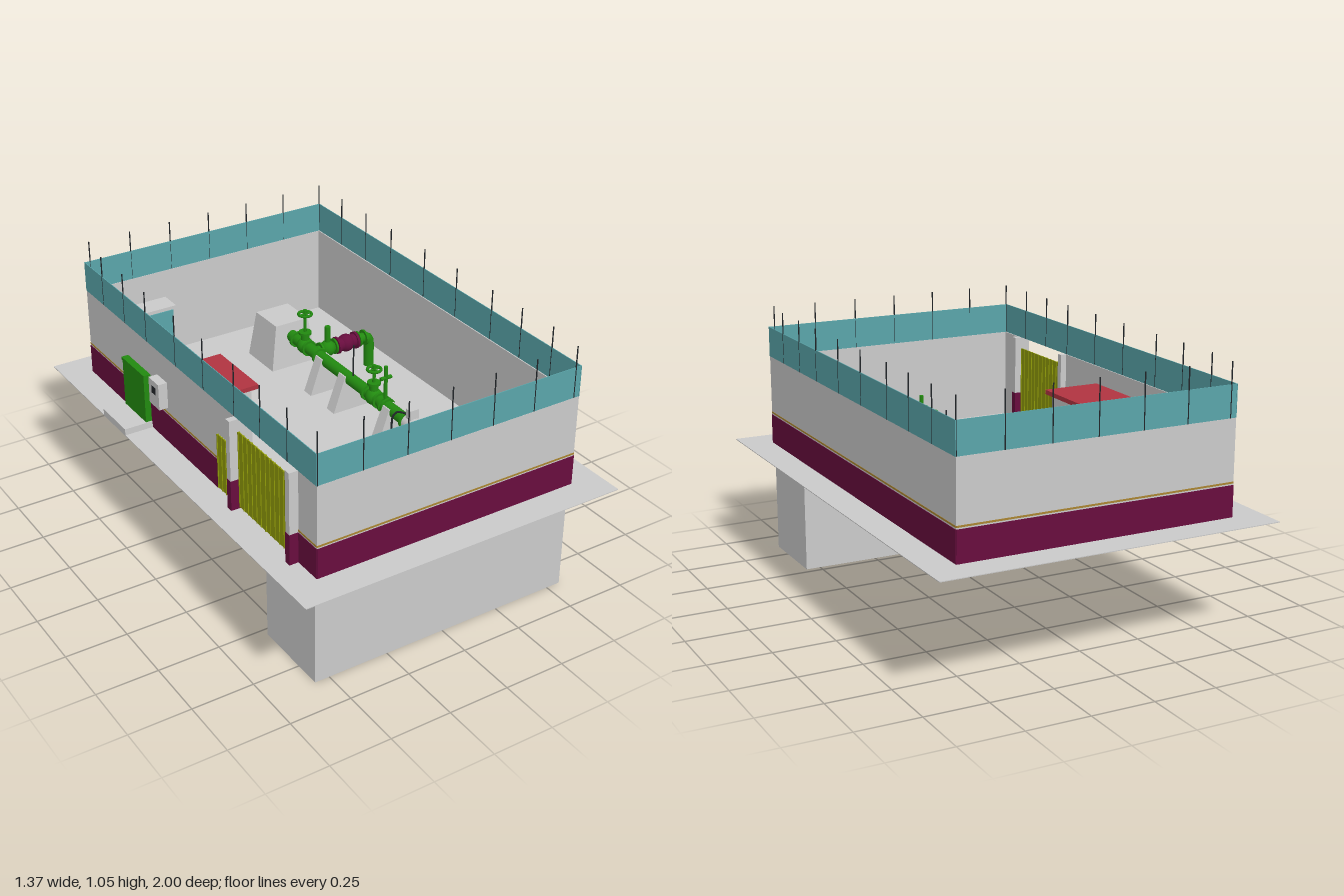
import * as THREE from 'three';

const mat = (name, color) => {
  const m = new THREE.MeshStandardMaterial({ color });
  m.name = name;
  return m;
};

export function createModel() {
  const concrete = mat('concrete grey', 0xcacaca);
  const maroon = mat('maroon', 0x680d3e);
  const teal = mat('teal', 0x5aa5aa);
  const green = mat('pipe green', 0x228a10);
  const red = mat('roof red', 0xb03440);
  const yellow = mat('gate yellow green', 0x8f9a08);
  const dark = mat('dark steel', 0x22262a);
  const gold = mat('gold stripe', 0xa88432);
  const root = new THREE.Group();
  const G = 0.465; // ground level
  const PX = 0.175, PY = 0.6; // main pipe axis

  const add = (name, geo, m, parent = root) => {
    const mesh = new THREE.Mesh(geo, m);
    mesh.name = name;
    parent.add(mesh);
    return mesh;
  };
  // box from its bounds, optionally tapered towards the top
  const box = (name, m, x0, x1, y0, y1, z0, z1, tx = 1, tz = 1) => {
    let g = new THREE.BoxGeometry(x1 - x0, y1 - y0, z1 - z0);
    const p = g.attributes.position;
    for (let i = 0; i < p.count; i++)
      if (p.getY(i) > 0) { p.setX(i, p.getX(i) * tx); p.setZ(i, p.getZ(i) * tz); }
    g.computeVertexNormals();
    const mesh = add(name, g, m);
    mesh.position.set((x0 + x1) / 2, (y0 + y1) / 2, (z0 + z1) / 2);
    return mesh;
  };
  // cylinder between two points
  const rod = (name, m, a, b, r, seg = 20) => {
    const A = new THREE.Vector3(...a), B = new THREE.Vector3(...b);
    const d = B.clone().sub(A);
    const mesh = add(name, new THREE.CylinderGeometry(r, r, d.length(), seg), m);
    mesh.position.copy(A).add(B).multiplyScalar(0.5);
    mesh.quaternion.setFromUnitVectors(new THREE.Vector3(0, 1, 0), d.normalize());
    return mesh;
  };
  const tube = (name, m, pts, r) => add(name, new THREE.TubeGeometry(
    new THREE.CatmullRomCurve3(pts.map(p => new THREE.Vector3(...p)), false, 'catmullrom', 0.3), 24, r, 16), m);
  const ball = (name, m, x, y, z, r) => add(name, new THREE.SphereGeometry(r, 20, 14), m).position.set(x, y, z);

  // ground slab and basement
  box('groundSlab', concrete, -0.685, 0.685, G - 0.003, G, -1, 1);
  box('basement', concrete, -0.56, 0.56, 0, G - 0.003, 0.53, 0.86);

  // perimeter walls: grey core, maroon plinth and stripe on the outside
  const X = 0.562, Z = 0.876, T = 0.006;
  const wallX = (side, z0, z1, y0 = G) => { // walls facing left or right
    const span = (name, m, a, b, y, h) => box(name, m, Math.min(side * a, side * b), Math.max(side * a, side * b), y, h, z0, z1);
    span('sideWall', concrete, X - T, X, y0, 0.84);
    if (y0 > G) return;
    span('sidePlinth', maroon, X, X + 0.002, G, 0.588);
    span('sideStripe', gold, X, X + 0.0015, 0.594, 0.601);
  };
  wallX(1, -Z, Z);
  wallX(-1, -Z, 0.2);
  wallX(-1, 0.2, 0.295, 0.705);
  wallX(-1, 0.295, 0.335);
  wallX(-1, 0.755, Z);
  for (const s of [-1, 1]) {
    const zb = (name, m, a, b, y, h) => box(name, m, -X, X, y, h, Math.min(s * a, s * b), Math.max(s * a, s * b));
    zb('endWall', concrete, Z - T, Z, G, 0.84);
    zb('endPlinth', maroon, Z, Z + 0.002, G, 0.588);
    zb('endStripe', gold, Z, Z + 0.0015, 0.594, 0.601);
    zb('endFencePanel', teal, Z - 0.004, Z - 0.001, 0.84, 0.965);
    box('sideFencePanel', teal, s * X - 0.0015, s * X + 0.0015, 0.84, 0.965, -Z, Z);
    // fence posts
    for (let i = 0; i < 7; i++) {
      const x = s * (-0.56 + 0.183 * i);
      rod('fencePost', dark, [x, 0.84, s * (Z - 0.002)], [x, 1.05, s * (Z - 0.002)], 0.0025, 6);
    }
    for (const z of [0.7, 0.52, 0.34, 0.115, -0.1, -0.335, -0.52, -0.705])
      rod('fencePost', dark, [s * X, 0.84, z + s * 0.01], [s * X, 1.05, z + s * 0.01], 0.0025, 6);
  }

  // gate pillars, sliding gate and wicket door
  for (const z of [0.342, 0.745]) {
    box('gatePillarBase', maroon, -0.6, -0.53, G, 0.59, z - 0.014, z + 0.014);
    box('gatePillar', concrete, -0.599, -0.531, 0.59, 0.84, z - 0.013, z + 0.013);
  }
  const leaf = (z0, z1, y1, n) => {
    box('gateLeaf', yellow, -0.565, -0.561, G + 0.006, y1, z0, z1);
    for (let i = 0; i <= n; i++) {
      const z = z0 + (z1 - z0) * i / n;
      box('gateRib', yellow, -0.568, -0.558, G + 0.006, y1, z - 0.002, z + 0.002);
    }
  };
  leaf(0.36, 0.542, 0.79, 6);
  leaf(0.546, 0.728, 0.79, 6);
  leaf(0.203, 0.292, 0.702, 3);

  // wall meter box
  box('meterBox', concrete, -0.6, -X, 0.62, 0.73, -0.27, -0.19);
  box('meterWindow', dark, -0.602, -0.6, 0.675, 0.705, -0.245, -0.215);

  // transformer with cooling fins on its plinth
  box('transformerPlinth', concrete, -0.685, -0.34, G, 0.492, -0.52, -0.33);
  box('transformer', green, -0.59, -0.42, 0.492, 0.69, -0.515, -0.335);
  box('transformerLid', green, -0.592, -0.416, 0.69, 0.702, -0.52, -0.33);
  for (let i = 0; i < 9; i++) {
    const z = -0.49 + i * 0.0165;
    box('coolingFin', green, -0.42, -0.4, 0.51, 0.67, z - 0.004, z + 0.004);
  }

  // guard kiosk
  box('kioskBody', concrete, -0.53, -0.33, G, 0.755, -0.2, 0.05);
  box('kioskRoof', red, -0.55, -0.31, 0.752, 0.77, -0.22, 0.07);
  box('kioskDoor', teal, -0.33, -0.326, G + 0.01, 0.7, -0.18, -0.08);
  box('kioskWindow', teal, -0.33, -0.326, G + 0.01, 0.7, -0.072, 0.03);

  // cabinet with glazed doors at the back wall
  box('cabinet', concrete, -0.52, -0.21, G, 0.72, -0.87, -0.775);
  for (const x of [-0.505, -0.363]) box('cabinetDoor', teal, x, x + 0.138, G + 0.012, 0.705, -0.775, -0.771);

  // main pipe, dropping to the basement in front and into the ground at the back
  rod('mainPipe', green, [PX, PY, -0.56], [PX, PY, 0.64], 0.025);
  tube('frontElbow', green, [[PX, PY, 0.63], [PX, PY - 0.006, 0.67], [PX, PY - 0.03, 0.69], [PX, PY - 0.08, 0.695]], 0.029);
  rod('downPipe', green, [PX, -0.0, 0.697], [PX, 0.54, 0.697], 0.018);
  tube('rearElbow', green, [[PX, PY, -0.55], [PX, PY - 0.01, -0.6], [PX, PY - 0.05, -0.635], [PX, 0.5, -0.655]], 0.027);
  rod('rearGroundPipe', green, [PX, 0.51, -0.64], [PX, 0.436, -0.668], 0.025);
  rod('rearFlange', green, [PX, 0.505, -0.66], [PX, 0.49, -0.666], 0.034);
  for (const z of [-0.44, -0.345, -0.265, 0.09, 0.17, 0.205, 0.225, 0.35, 0.43, 0.53, 0.62])
    rod('pipeFlange', green, [PX, PY, z - 0.005], [PX, PY, z + 0.005], 0.034);

  // rear anchor block
  box('anchorBlock', concrete, 0.07, 0.285, G, 0.66, -0.66, -0.465, 0.72, 0.82);

  // tapered pipe supports with hollow footings
  const foot = new THREE.Shape();
  const oval = (s, hx, r) => { s.absarc(hx, 0, r, -Math.PI / 2, Math.PI / 2); s.absarc(-hx, 0, r, Math.PI / 2, Math.PI * 1.5); return s; };
  oval(foot, 0.055, 0.025);
  foot.holes.push(oval(new THREE.Path(), 0.055, 0.014));
  const footGeo = new THREE.ExtrudeGeometry(foot, { depth: 0.025, bevelEnabled: false, curveSegments: 8 });
  footGeo.rotateX(Math.PI / 2);
  for (const z of [-0.23, -0.058, 0.25, 0.467]) {
    box('pipeSupport', concrete, 0.095, 0.255, G, 0.615, z - 0.026, z + 0.026, 0.32, 0.9);
    add('supportFooting', footGeo, concrete).position.set(PX, G, z);
  }

  // front stand: green platform between two leaning slabs
  box('pipePlatform', green, 0.09, 0.27, 0.505, 0.52, 0.62, 0.755);
  for (const x of [0.1, 0.25]) for (const z of [0.63, 0.735])
    box('platformLeg', green, x - 0.006, x + 0.006, G, 0.505, z, z + 0.012);
  box('standSlabRight', concrete, 0.035, 0.09, G, 0.573, 0.6, 0.775, 0.6);
  box('standSlabLeft', concrete, 0.27, 0.32, G, 0.573, 0.6, 0.775, 0.6);

  // gate valves with handwheels
  const valve = (x, z, top, r, m = green) => {
    ball('valveBody', m, x, PY, z, 0.035);
    rod('valveBonnet', m, [x, PY, z], [x, PY + 0.06, z], 0.018);
    rod('bonnetFlange', m, [x, PY + 0.055, z], [x, PY + 0.065, z], 0.027);
    rod('valveStem', m, [x, PY + 0.06, z], [x, top, z], 0.007, 10);
    const wheel = add('handwheel', new THREE.TorusGeometry(r, 0.006, 8, 24), m);
    wheel.rotation.x = Math.PI / 2;
    wheel.position.set(x, top - 0.02, z);
    rod('wheelSpoke', m, [x - r, top - 0.02, z], [x + r, top - 0.02, z], 0.004, 8);
    rod('wheelSpoke', m, [x, top - 0.02, z - r], [x, top - 0.02, z + r], 0.004, 8);
  };
  valve(PX, -0.375, 0.765, 0.027);
  valve(PX, 0.13, 0.74, 0.027);
  rod('airVent', green, [PX, PY, 0.21], [PX, 0.77, 0.21], 0.008, 10);
  rod('airVentArm', green, [PX - 0.025, 0.72, 0.21], [PX + 0.025, 0.72, 0.21], 0.008, 10);
  rod('gaugeRod', dark, [PX, PY, -0.015], [PX, 0.76, -0.015], 0.003, 8);

  // side branch with a maroon check valve and a down-turned end
  const BZ = -0.305;
  rod('branchPipe', green, [PX, PY, BZ], [0.43, PY, BZ], 0.021);
  tube('branchElbow', green, [[0.42, PY, BZ], [0.437, PY - 0.006, BZ], [0.445, PY - 0.03, BZ], [0.446, G, BZ]], 0.022);
  ball('branchValve', green, 0.24, PY, BZ, 0.034);
  rod('branchValveStem', green, [0.24, PY, BZ], [0.24, 0.7, BZ], 0.012, 12);
  rod('checkValve', maroon, [0.285, PY, BZ], [0.375, PY, BZ], 0.029);
  ball('checkValveBody', maroon, 0.33, PY, BZ, 0.037);
  for (const x of [0.285, 0.375]) rod('checkValveFlange', maroon, [x - 0.005, PY, BZ], [x + 0.005, PY, BZ], 0.036);
  for (const x of [0.205, 0.272, 0.39, 0.42]) rod('branchFlange', green, [x - 0.004, PY, BZ], [x + 0.004, PY, BZ], 0.033);

  // flow meter and its drain line
  rod('flowMeter', concrete, [PX, PY, 0.362], [PX, PY, 0.418], 0.033);
  box('flowMeterHead', concrete, PX - 0.02, PX + 0.02, 0.63, 0.67, 0.375, 0.405);
  rod('drainSleeve', concrete, [0.115, 0.41, 0.342], [0.115, 0.5, 0.342], 0.011, 14);
  rod('drainTip', dark, [0.115, 0.378, 0.342], [0.115, 0.41, 0.342], 0.003, 8);
  tube('drainTube', dark, [[0.115, 0.5, 0.342], [0.115, 0.62, 0.342], [0.13, 0.65, 0.35], [0.15, 0.65, 0.37], [PX, 0.63, 0.38]], 0.004);

  return root;
}
